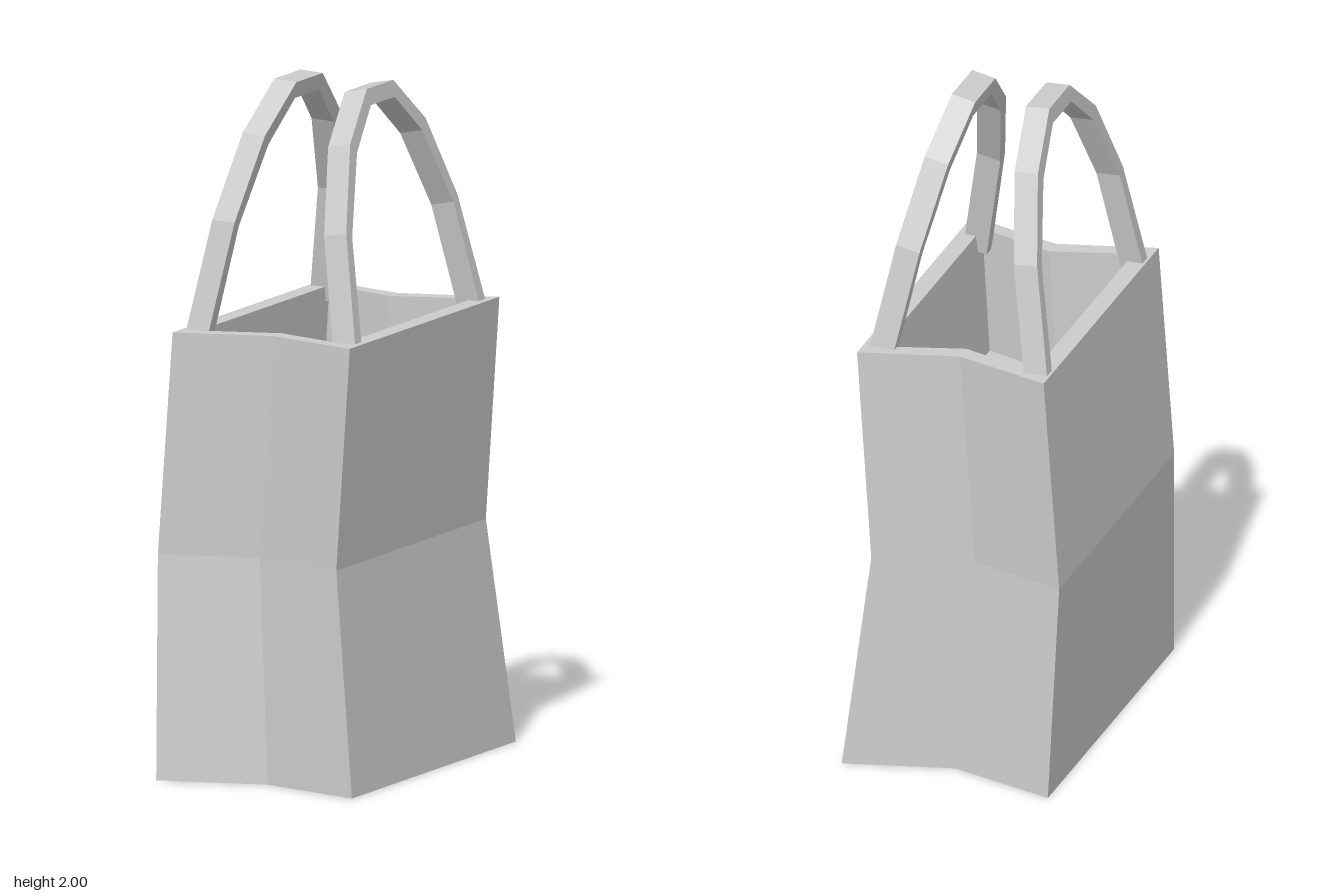
import * as THREE from 'three';

const material = new THREE.MeshStandardMaterial({ color: 0xcccccc, flatShading: true });

// Six-cornered ring with the front and back creased inwards
function ring(y, cx, halfX, cornerZ, creaseZ) {
  return [
    [cx - halfX, y, -cornerZ], [cx, y, -creaseZ], [cx + halfX, y, -cornerZ],
    [cx + halfX, y, cornerZ], [cx, y, creaseZ], [cx - halfX, y, cornerZ],
  ];
}

// Bag body: up the outside, over the rim and down the inside to the floor
function createBag() {
  const rings = [
    ring(0, 0.006, 0.318, 0.515, 0.43),
    ring(0.655, -0.04, 0.29, 0.47, 0.39),
    ring(1.31, 0.006, 0.288, 0.47, 0.39),
    ring(1.31, 0.006, 0.233, 0.408, 0.337),
    ring(0.92, -0.017, 0.233, 0.408, 0.337),
  ];
  const positions = [];
  const quad = (a, b, c, d) => positions.push(...a, ...b, ...c, ...a, ...c, ...d);
  for (let i = 0; i < rings.length - 1; i++) {
    const low = rings[i], high = rings[i + 1];
    for (let j = 0; j < 6; j++) {
      const k = (j + 1) % 6;
      quad(low[k], low[j], high[j], high[k]);
    }
  }
  // Underside and inner floor
  const b = rings[0], f = rings[rings.length - 1];
  quad(b[0], b[1], b[4], b[5]);
  quad(b[1], b[2], b[3], b[4]);
  quad(f[0], f[5], f[4], f[1]);
  quad(f[1], f[4], f[3], f[2]);

  const geometry = new THREE.BufferGeometry();
  geometry.setAttribute('position', new THREE.Float32BufferAttribute(positions, 3));
  geometry.computeVertexNormals();
  const mesh = new THREE.Mesh(geometry, material);
  mesh.name = 'bagBody';
  return mesh;
}

// Arched strap: a flat extruded arch, leaned towards the middle
function createHandle(name, baseX, lean, tilt, drop) {
  const outer = [[0.417, 1.27], [0.35, 1.625], [0.237, 1.865], [0.083, 2]];
  const inner = [[0.075, 1.952], [0.205, 1.835], [0.318, 1.61], [0.377, 1.27]];
  const mirror = (pts) => pts.map(([z, y]) => [-z, y]).reverse();
  const outline = [...outer, ...mirror(outer), ...mirror(inner), ...inner];
  const shape = new THREE.Shape(outline.map(([z, y]) => new THREE.Vector2(z, y)));
  const width = 0.072;
  const geometry = new THREE.ExtrudeGeometry(shape, { depth: width, bevelEnabled: false });
  geometry.translate(0, 0, -width / 2).rotateY(-Math.PI / 2);
  const p = geometry.attributes.position;
  for (let i = 0; i < p.count; i++) {
    const x = p.getX(i), y = p.getY(i);
    p.setXYZ(i, x + baseX + lean * (y - 1.31), y + tilt * x - drop, p.getZ(i) - 0.012);
  }
  geometry.computeVertexNormals();
  const mesh = new THREE.Mesh(geometry, material);
  mesh.name = name;
  return mesh;
}

export function createModel() {
  const group = new THREE.Group();
  group.name = 'carrierBag';
  group.add(
    createBag(),
    createHandle('rightHandle', -0.238, 0.168, -0.06, 0.002),
    createHandle('leftHandle', 0.238, -0.19, 0.2, 0.012),
  );
  // The whole bag stands slightly turned
  group.rotation.y = -0.021;
  return group;
}
